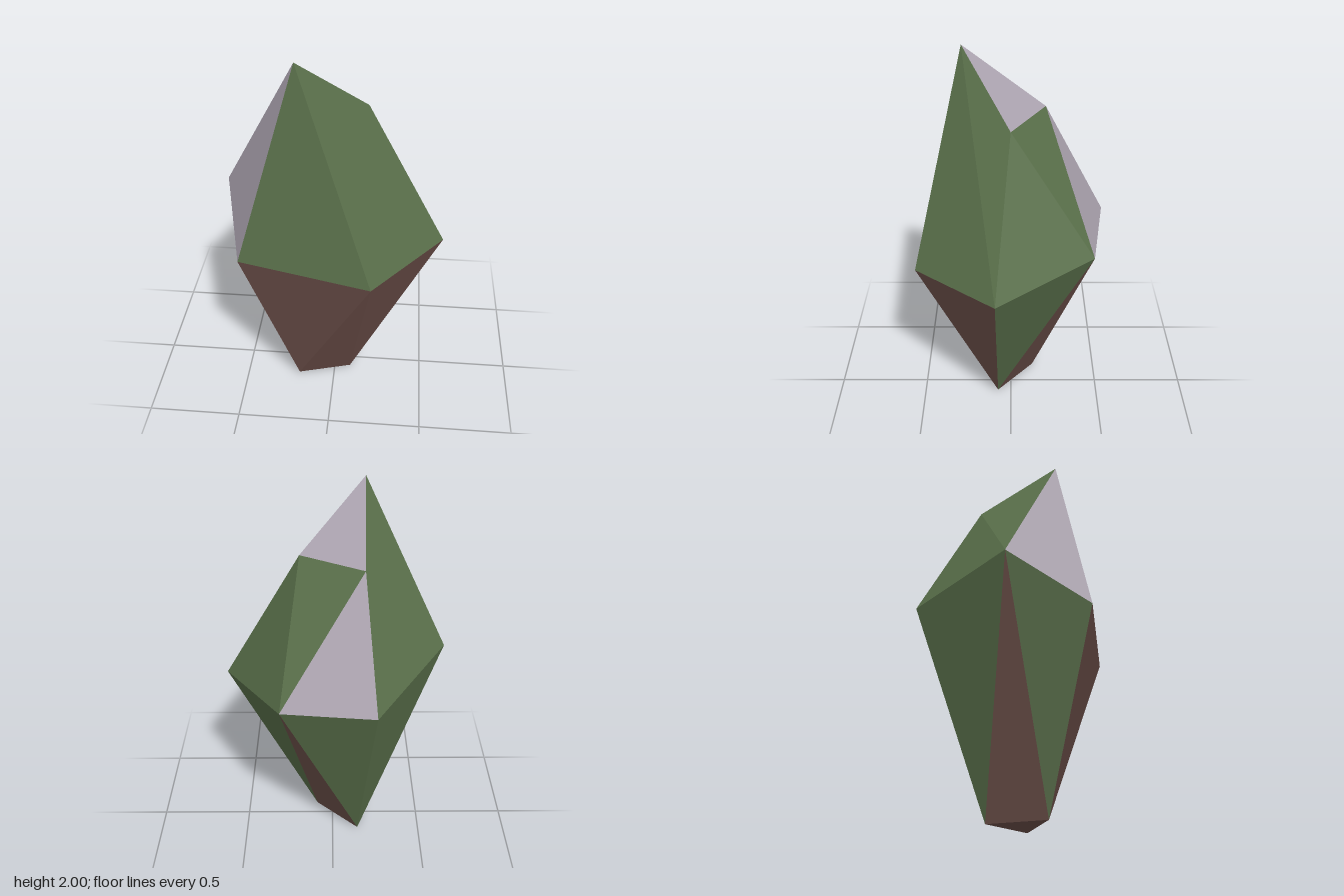
import * as THREE from 'three';

// Corners of the faceted crystal, from the crown through the girdle to the base
const corners = {
  peak: [-0.165, 2.0, 0.24], crownRight: [0.16, 1.69, 0.0], crownBack: [-0.155, 1.69, -0.175],
  a: [-0.215, 1.07, -0.495], b: [0.26, 1.05, -0.42], c: [0.565, 0.97, 0.075],
  d: [0.21, 0.945, 0.49], e: [-0.46, 0.985, 0.37], f: [-0.57, 1.21, -0.05],
  baseLeft: [-0.2, 0.01, 0.16], baseRight: [0.09, 0.005, 0.075], baseBack: [-0.145, 0, -0.13],
};

// Facets grouped by colour
const mossFacets = [
  'e d peak', 'd c peak', 'c crownRight peak', 'c b crownRight', 'b crownBack crownRight',
  'a f crownBack', 'f peak crownBack',
  'c baseRight b', 'b baseBack a', 'a baseBack f', 'f baseLeft e',
];
const stoneFacets = ['peak crownRight crownBack', 'a crownBack b', 'f e peak'];
const earthFacets = [
  'e baseLeft d', 'd baseLeft baseRight', 'd baseRight c',
  'b baseRight baseBack', 'f baseBack baseLeft', 'baseLeft baseBack baseRight',
];

// Build triangles from corner names, turning each to face away from the core
function facetMesh(name, facets, material) {
  const core = new THREE.Vector3(0, 1, 0);
  const points = [];
  for (const facet of facets) {
    const [p, q, r] = facet.split(' ').map((k) => new THREE.Vector3(...corners[k]));
    const normal = new THREE.Triangle(p, q, r).getNormal(new THREE.Vector3());
    const outward = normal.dot(p.clone().sub(core)) > 0;
    points.push(...(outward ? [p, q, r] : [p, r, q]));
  }
  const geometry = new THREE.BufferGeometry().setFromPoints(points);
  geometry.computeVertexNormals();
  const mesh = new THREE.Mesh(geometry, material);
  mesh.name = name;
  return mesh;
}

function makeMaterial(name, color) {
  const material = new THREE.MeshStandardMaterial({ color });
  material.name = name;
  return material;
}

export function createModel() {
  const model = new THREE.Group();
  model.name = 'facetedRock';
  model.add(
    facetMesh('mossFacets', mossFacets, makeMaterial('mossGreen', 0x596f4a)),
    facetMesh('stoneFacets', stoneFacets, makeMaterial('mauveStone', 0xaaa2ae)),
    facetMesh('earthFacets', earthFacets, makeMaterial('earthBrown', 0x6d504a)),
  );
  return model;
}
